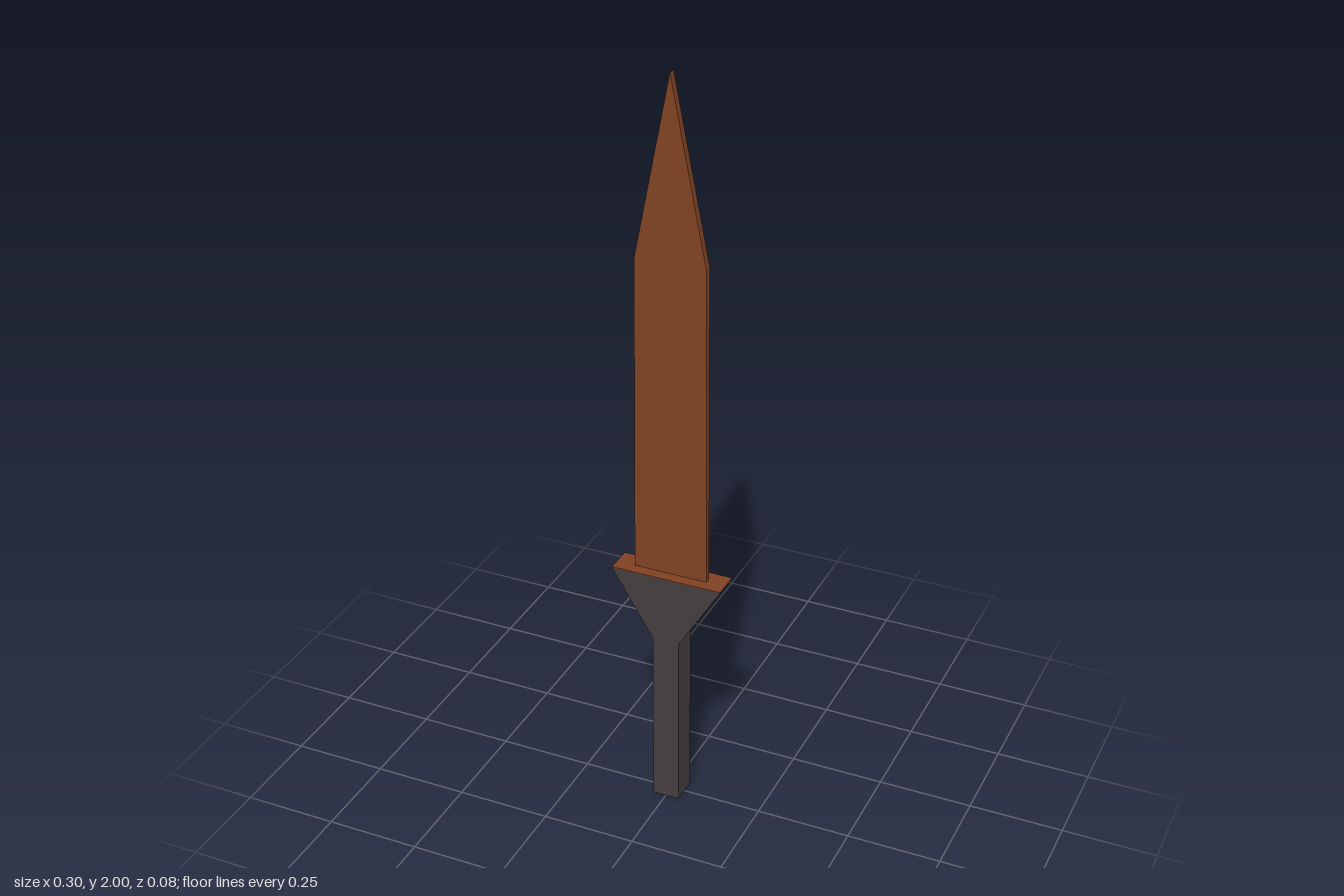
import * as THREE from 'three';

const bladeMat = new THREE.MeshStandardMaterial({ color: 0x804224 });
bladeMat.name = 'rust brown';
const hiltMat = new THREE.MeshStandardMaterial({ color: 0x443e3e });
hiltMat.name = 'dark grey';

// Mirror a right-hand outline (bottom to top) across x = 0 and extrude it, centred on z
function symmetricSlab(half, depth) {
  const points = half.map(([x, y]) => new THREE.Vector2(x, y));
  for (const [x, y] of [...half].reverse()) {
    if (x > 0) points.push(new THREE.Vector2(-x, y));
  }
  const geometry = new THREE.ExtrudeGeometry(new THREE.Shape(points), { depth, bevelEnabled: false });
  return geometry.translate(0, 0, -depth / 2);
}

function addPart(group, name, geometry, material) {
  const mesh = new THREE.Mesh(geometry, material);
  mesh.name = name;
  group.add(mesh);
  return mesh;
}

export function createModel() {
  const group = new THREE.Group();
  group.name = 'dagger';
  const guardTop = 0.676;
  const hiltDepth = 0.076;

  // Square grip and the flared guard above it
  addPart(group, 'grip', new THREE.BoxGeometry(0.072, 0.49, hiltDepth).translate(0, 0.245, 0), hiltMat);
  addPart(group, 'guard', symmetricSlab([[0.036, 0.49], [0.149, guardTop - 0.002]], hiltDepth), hiltMat);

  // Thin brown plate on top of the guard
  addPart(group, 'guardTop',
    new THREE.BoxGeometry(0.298, 0.002, hiltDepth).translate(0, guardTop - 0.001, 0), bladeMat);

  // Flat blade, slightly thinner at its root
  const blade = symmetricSlab([[0.099, guardTop], [0.093, 1.53], [0, 2]], 0.02);
  const pos = blade.attributes.position;
  for (let i = 0; i < pos.count; i++) {
    if (pos.getY(i) < 1) pos.setZ(i, pos.getZ(i) * 0.8);
  }
  blade.computeVertexNormals();
  addPart(group, 'blade', blade, bladeMat);

  return group;
}
